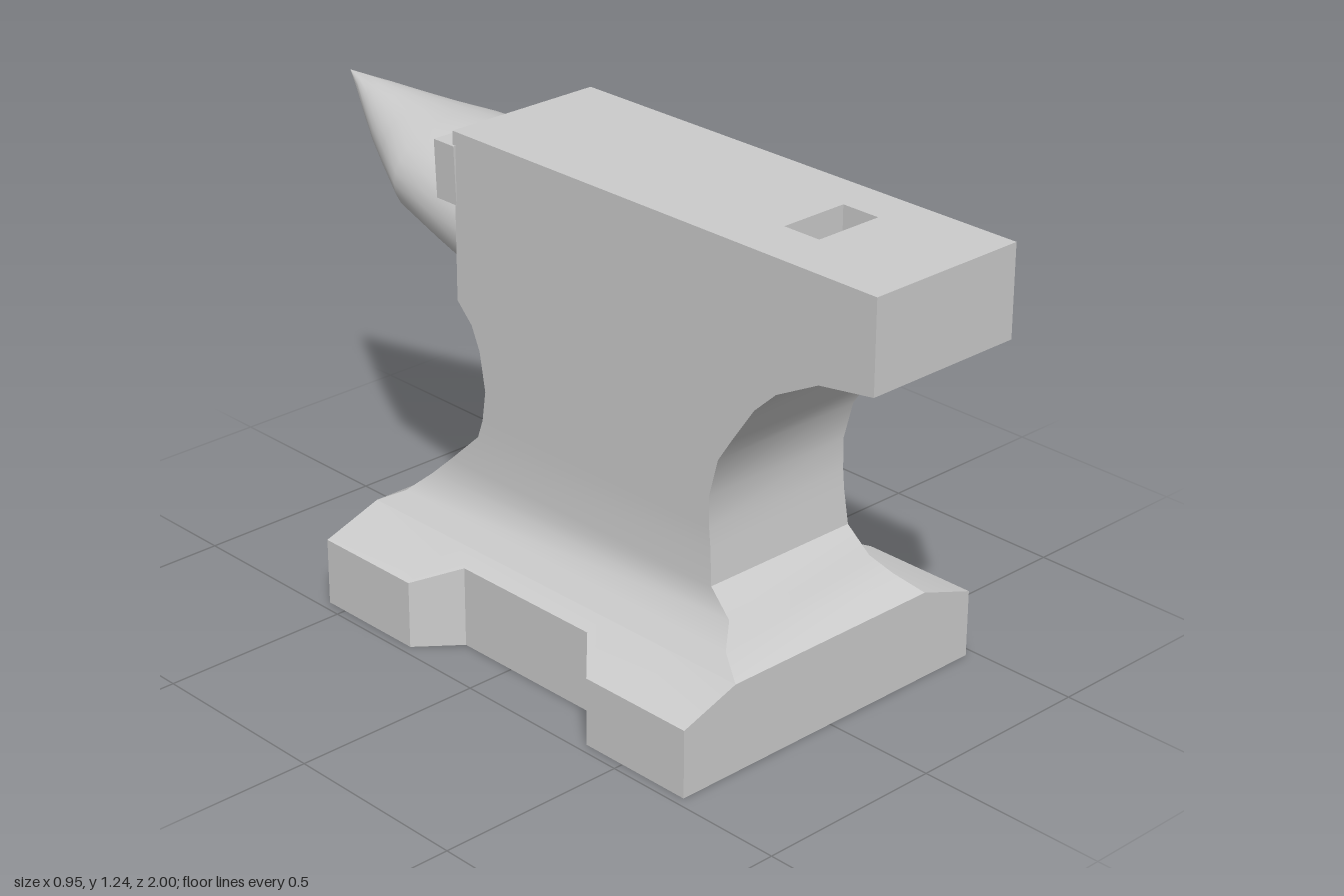
import * as THREE from 'three';
import { toCreasedNormals } from 'three/addons/utils/BufferGeometryUtils.js';

const grey = new THREE.MeshStandardMaterial({ color: 0xcccccc });

// Skin a row of equal-length convex rings, counter-clockwise seen from the far end, capped at both ends.
function loft(rings, crease) {
  const n = rings[0].length, last = rings.length - 1, pos = [];
  const tri = (a, b, c) => pos.push(...a, ...b, ...c);
  for (let i = 0; i < last; i++) {
    for (let j = 0; j < n; j++) {
      const k = (j + 1) % n, p = rings[i], q = rings[i + 1];
      tri(p[j], p[k], q[k]);
      tri(p[j], q[k], q[j]);
    }
  }
  for (let j = 1; j < n - 1; j++) {
    tri(rings[0][0], rings[0][j + 1], rings[0][j]);
    tri(rings[last][0], rings[last][j], rings[last][j + 1]);
  }
  const g = new THREE.BufferGeometry();
  g.setAttribute('position', new THREE.Float32BufferAttribute(pos, 3));
  return toCreasedNormals(g, crease);
}

export function createModel() {
  const model = new THREE.Group();
  const add = (name, geometry) => {
    const mesh = new THREE.Mesh(geometry, grey);
    mesh.name = name;
    model.add(mesh);
    return mesh;
  };

  // Base: four corner feet with sloped tops and a narrower middle
  const foot = [0.475, 0.175];
  const base = [
    [-0.56, foot, foot], [-0.25, foot, foot],
    [-0.165, [0.37, 0.21], [0.318, 0.228]], [0.27, [0.37, 0.21], [0.318, 0.228]],
    [0.38, foot, foot], [0.70, foot, foot],
  ].map(([z, r, l]) => [
    [-r[0], 0, z], [l[0], 0, z], [l[0], l[1], z],
    [0.315, 0.23, z], [-0.315, 0.23, z], [-r[0], r[1], z],
  ]);
  add('base', loft(base, 0.75));

  // Waist and underside of the heel: y, half width, front z, back z
  const waist = [
    [0.23, 0.315, 0.70, -0.56], [0.27, 0.277, 0.63, -0.49], [0.32, 0.232, 0.595, -0.44],
    [0.38, 0.226, 0.53, -0.375], [0.47, 0.22, 0.52, -0.28], [0.52, 0.22, 0.515, -0.262],
    [0.60, 0.22, 0.513, -0.25], [0.70, 0.22, 0.54, -0.268], [0.76, 0.22, 0.58, -0.295],
    [0.81, 0.22, 0.615, -0.345], [0.86, 0.22, 0.65, -0.345], [0.92, 0.22, 0.715, -0.345],
    [0.985, 0.22, 0.84, -0.345], [1.01, 0.22, 1, -0.345], [1.06, 0.22, 1, -0.345],
  ].map(([y, w, f, b]) => [[w, y, f], [w, y, b], [-w, y, b], [-w, y, f]]);
  add('waist', loft(waist, 0.65));

  // Face slab with the square hole near the heel
  const face = new THREE.Shape();
  face.moveTo(-0.22, -1).lineTo(0.22, -1).lineTo(0.22, 0.35).lineTo(-0.22, 0.35).closePath();
  const hole = new THREE.Path();
  hole.moveTo(-0.08, -0.70).lineTo(-0.08, -0.595).lineTo(0.107, -0.595).lineTo(0.107, -0.70).closePath();
  face.holes.push(hole);
  const slab = new THREE.ExtrudeGeometry(face, { depth: 0.18, bevelEnabled: false });
  add('face', slab.rotateX(-Math.PI / 2).translate(0, 1.06, 0));

  // Step between face and horn, slightly wider towards its top
  const step = [[1.055, 0.221], [1.205, 0.227]].map(([y, w]) =>
    [[w, y, -0.34], [w, y, -0.41], [-w, y, -0.41], [-w, y, -0.34]]);
  add('step', loft(step, 0.5));

  // Horn: level along the top, underside sweeping up to the point; z, half width, bottom, top
  const horn = [
    [-0.34, 0.22, 0.81, 1.17], [-0.47, 0.217, 0.86, 1.17], [-0.59, 0.205, 0.905, 1.165],
    [-0.70, 0.152, 0.955, 1.165], [-0.79, 0.108, 1.0, 1.168], [-0.87, 0.067, 1.06, 1.17],
    [-0.94, 0.03, 1.118, 1.17], [-1, 0.001, 1.168, 1.17],
  ].map(([z, w, lo, hi]) => Array.from({ length: 28 }, (_, i) => {
    const a = i / 28 * Math.PI * 2;
    return [-w * Math.cos(a), (lo + hi) / 2 + (hi - lo) / 2 * Math.sin(a), z];
  }));
  add('horn', loft(horn, 0.9));

  return model;
}
